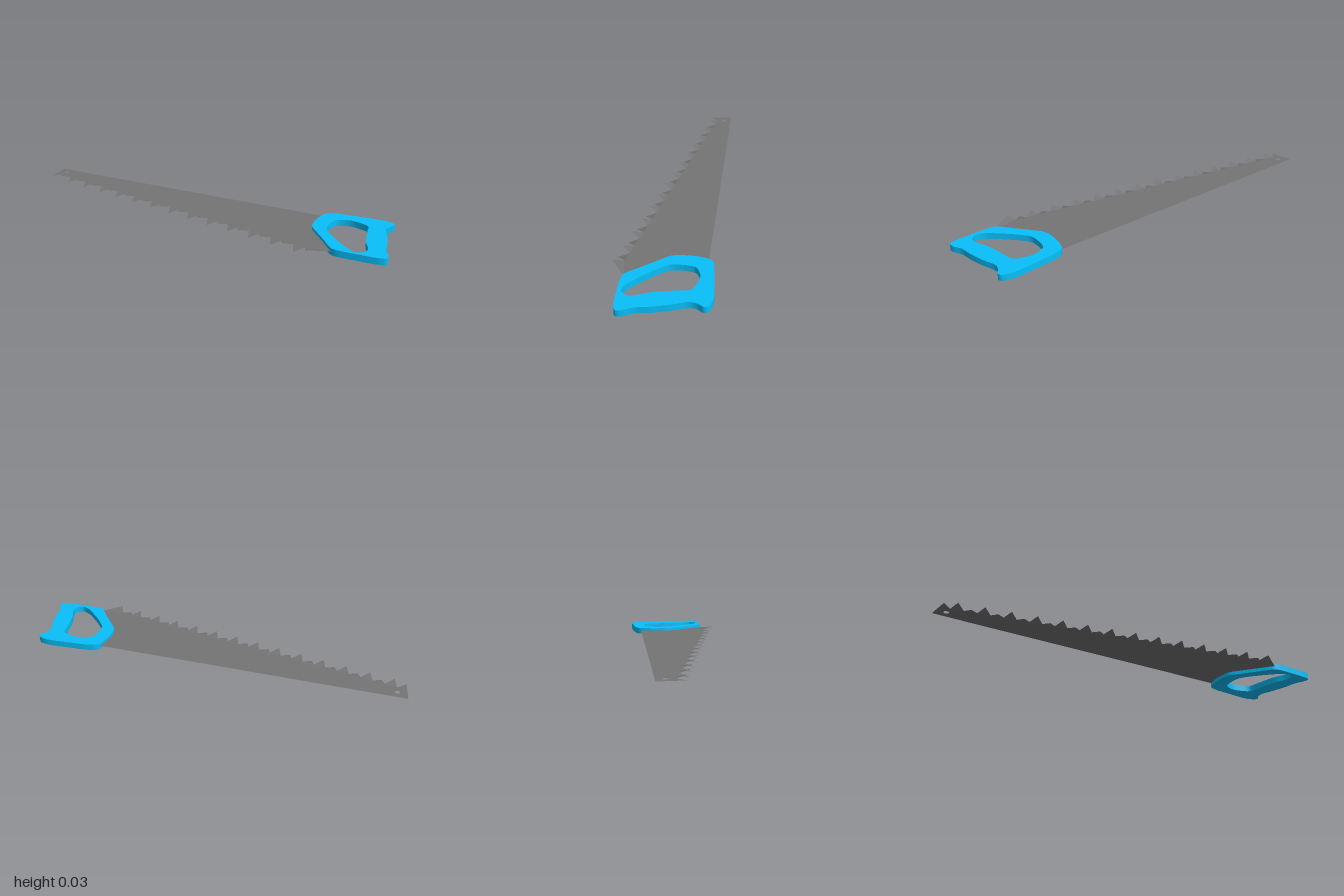
import * as THREE from 'three';
import { toCreasedNormals } from 'three/addons/utils/BufferGeometryUtils.js';

const BLADE_Y = 0.019;  // height of the blade plane
const TEETH = 28;
const SET = 0.013;      // sideways bend of each tooth tip

// plan coordinates (x, z) become shape coordinates (x, -z)
const plan = (pts) => pts.map(([x, z]) => new THREE.Vector2(x, -z));

// smooth closed outline through plan points
function smoothLoop(pts, divisions) {
  const curve = new THREE.CatmullRomCurve3(
    pts.map(([x, z]) => new THREE.Vector3(x, -z, 0)), true, 'centripetal');
  return curve.getPoints(divisions).slice(0, -1).map((p) => new THREE.Vector2(p.x, p.y));
}

function makeHandle() {
  const shape = new THREE.Shape(smoothLoop([
    [0.48, -0.325], [0.505, -0.355], [0.61, -0.418], [0.7, -0.468], [0.74, -0.483],
    [0.78, -0.485], [0.793, -0.47], [0.788, -0.435], [0.797, -0.4], [0.855, -0.338],
    [0.91, -0.27], [0.945, -0.218], [0.99, -0.18], [1.0, -0.16], [0.985, -0.14],
    [0.89, -0.088], [0.79, -0.043], [0.768, -0.043], [0.69, -0.08], [0.6, -0.122],
    [0.55, -0.147], [0.53, -0.168], [0.507, -0.21], [0.487, -0.265],
  ], 144));
  // grip opening, wound against the outline so its walls face inward
  shape.holes.push(new THREE.Path(smoothLoop([
    [0.568, -0.3], [0.605, -0.342], [0.65, -0.36], [0.718, -0.362], [0.747, -0.325],
    [0.785, -0.272], [0.83, -0.215], [0.88, -0.17], [0.893, -0.14], [0.877, -0.103],
    [0.835, -0.097], [0.75, -0.12], [0.66, -0.155], [0.61, -0.184], [0.585, -0.225],
    [0.568, -0.275],
  ], 96).reverse()));
  const geo = new THREE.ExtrudeGeometry(shape, { depth: 0.033, bevelEnabled: false });
  geo.rotateX(-Math.PI / 2);
  const mesh = new THREE.Mesh(toCreasedNormals(geo, 0.7),
    new THREE.MeshStandardMaterial({ color: 0x08c0fa }));
  mesh.name = 'handle';
  return mesh;
}

function makeBlade() {
  const blade = new THREE.Group();
  blade.name = 'blade';
  const material = new THREE.MeshStandardMaterial({ color: 0x757575, side: THREE.DoubleSide });

  // tooth tips run evenly from toe to heel, with a gullet after each
  const heel = [0.775, -0.042];
  const tips = [], gullets = [];
  for (let i = 0; i < TEETH; i++) {
    const t = i / (TEETH - 1);
    const x = -0.93 + 1.64 * t, z = 0.483 - 0.418 * t;
    tips.push([x, z]);
    gullets.push(i < TEETH - 1 ? [x + 0.021, z - 0.055] : heel);
  }

  // flat sheet with a tapered back and a hanging hole at the toe
  const sheet = new THREE.Shape(plan([
    [-1, 0.375], tips[0], ...gullets, [0.75, -0.075], [0.6, -0.15], [0.54, -0.24], [0.49, -0.318],
  ]));
  const hole = new THREE.Path();
  hole.absarc(-0.932, -0.39, 0.013, 0, Math.PI * 2, true);
  sheet.holes.push(hole);
  const sheetGeo = new THREE.ShapeGeometry(sheet, 12);
  sheetGeo.rotateX(-Math.PI / 2);
  sheetGeo.translate(0, BLADE_Y, 0);
  const sheetMesh = new THREE.Mesh(sheetGeo, material);
  sheetMesh.name = 'bladeSheet';

  // teeth bent alternately up and down
  const verts = [];
  for (let i = 1; i < TEETH; i++) {
    const a = gullets[i - 1], b = tips[i], c = gullets[i];
    const bend = i % 2 ? SET : -SET;
    verts.push(a[0], BLADE_Y, a[1], b[0], BLADE_Y + bend, b[1], c[0], BLADE_Y, c[1]);
  }
  const teethGeo = new THREE.BufferGeometry();
  teethGeo.setAttribute('position', new THREE.Float32BufferAttribute(verts, 3));
  teethGeo.computeVertexNormals();
  const teeth = new THREE.Mesh(teethGeo, material);
  teeth.name = 'teeth';

  blade.add(sheetMesh, teeth);
  return blade;
}

export function createModel() {
  const saw = new THREE.Group();
  saw.name = 'handSaw';
  saw.add(makeBlade(), makeHandle());
  return saw;
}
